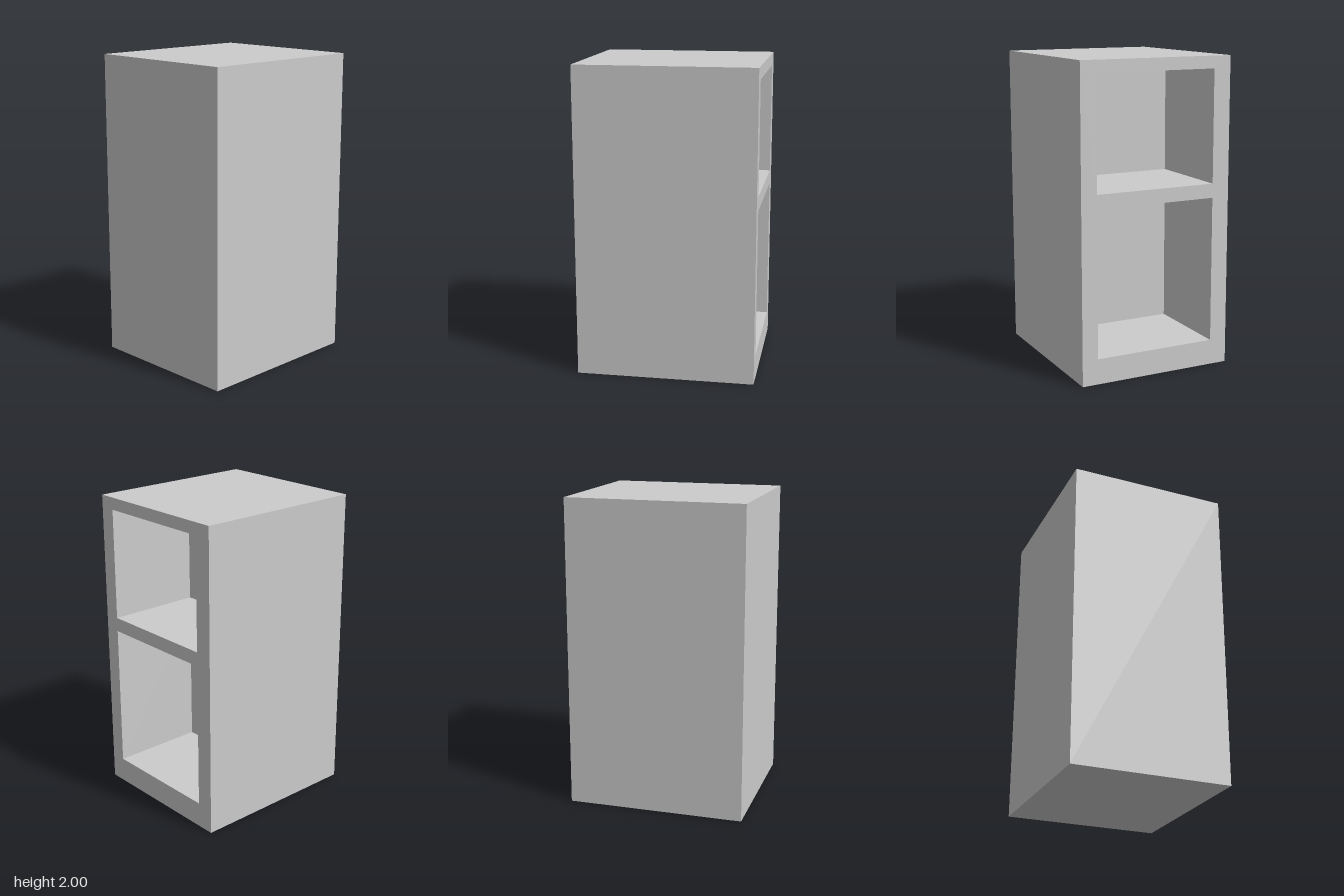
import * as THREE from 'three';

const W = 1.026, H = 1.997, D = 1.144; // cabinet size
const NICHE_DEPTH = 0.62;
const TILT = -0.003; // the whole body leans very slightly towards +x

// Rectangle outline, added to a Shape or Path
function rect(path, x0, y0, x1, y1) {
  path.moveTo(x0, y0);
  path.lineTo(x1, y0);
  path.lineTo(x1, y1);
  path.lineTo(x0, y1);
  path.closePath();
  return path;
}

export function createModel() {
  const material = new THREE.MeshStandardMaterial({ color: 0xcccccc, flatShading: true });
  const model = new THREE.Group();
  model.name = 'cabinet';

  const body = new THREE.Group();
  body.name = 'cabinetBody';
  body.position.y = 1;
  body.rotation.z = TILT;
  model.add(body);

  // Rear frame: outer walls and divider around two open niches
  const outline = rect(new THREE.Shape(), -W / 2, -H / 2, W / 2, H / 2);
  const niches = [[0.165, 1.107], [1.198, 1.92]]; // bottom and top heights
  for (const [y0, y1] of niches) {
    outline.holes.push(rect(new THREE.Path(), -0.398, y0 - 1, 0.408, y1 - 1));
  }
  const frame = new THREE.Mesh(
    new THREE.ExtrudeGeometry(outline, { depth: NICHE_DEPTH, bevelEnabled: false }), material);
  frame.name = 'nicheFrame';
  frame.position.z = -D / 2;
  body.add(frame);

  // Solid front block, closing the niches at their inner end
  const frontDepth = D - NICHE_DEPTH;
  const front = new THREE.Mesh(new THREE.BoxGeometry(W, H, frontDepth), material);
  front.name = 'frontBlock';
  front.position.z = D / 2 - frontDepth / 2;
  body.add(front);

  return model;
}
